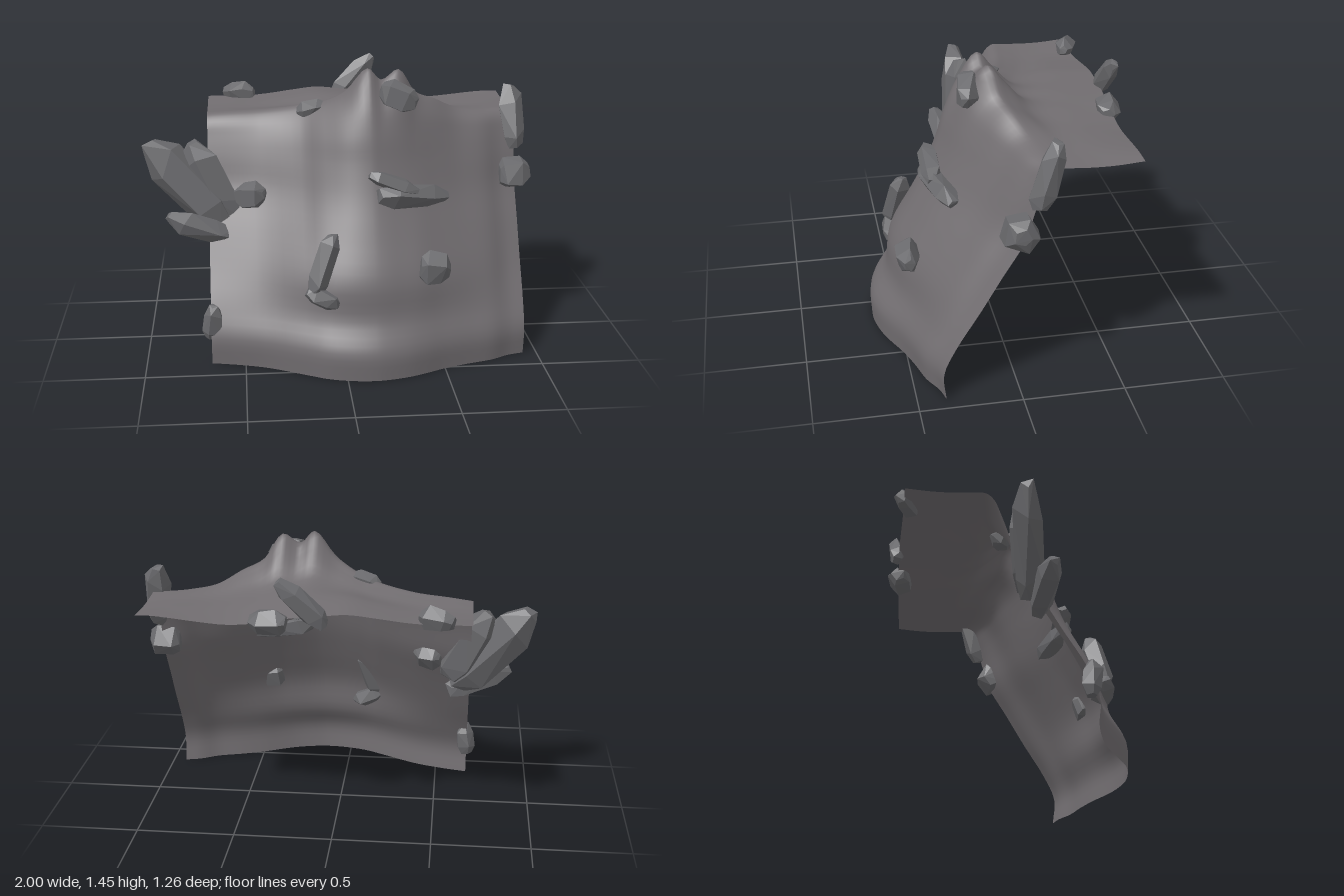
import * as THREE from 'three';
import { ConvexGeometry } from 'three/addons/geometries/ConvexGeometry.js';

const cliffStone = new THREE.MeshStandardMaterial({ color: 0x716d70, side: THREE.DoubleSide });
cliffStone.name = 'cliffStone';
const rockGrey = new THREE.MeshStandardMaterial({ color: 0x69696c });
rockGrey.name = 'rockGrey';

// Cliff profile, foot to back edge:
// [side z, side y, middle z, middle y, then shares of the peak, swell, ripple and narrowing]
const PROFILE = [
  [0.36, 0, 0.63, 0, 0, 0, 0, 0],
  [0.37, 0.14, 0.63, 0.14, 0, 0, 0, 0],
  [0.31, 0.28, 0.55, 0.28, 0, 0.5, 0, 0],
  [0.2, 0.46, 0.525, 0.46, 0, 1, 0, 0],
  [0.09, 0.65, 0.425, 0.66, 0, 1, 0, 0.2],
  [-0.01, 0.82, 0.335, 0.84, 0, 0.7, 0, 0.4],
  [-0.055, 0.97, 0.275, 1.0, 0, 0.3, 0, 0.6],
  [-0.09, 1.07, 0.235, 1.12, 0.1, 0, 0, 0.8],
  [-0.12, 1.14, 0.17, 1.18, 0.5, 0, 0, 1],
  [-0.16, 1.175, 0.07, 1.19, 1, 0, 0, 1],
  [-0.22, 1.175, -0.01, 1.2, 0.65, 0, 0, 1],
  [-0.31, 1.17, -0.13, 1.2, 0.2, 0, 0.3, 0.7],
  [-0.42, 1.17, -0.33, 1.22, 0, 0, 0.7, 0.3],
  [-0.555, 1.18, -0.57, 1.19, 0, 0, 1, 0],
];

// Across the cliff: [x, blend towards the middle profile, peak height, swell, ripple, narrowing]
const ACROSS = [
  [-0.67, 0, 0, 0, 0, 0], [-0.55, 0.1, 0.01, 0, 0, 0.03], [-0.4, 0.27, 0.02, 0, 0, 0.12],
  [-0.2, 0.65, 0.05, 0, 0.02, 0.27], [-0.08, 0.87, 0.08, 0, 0.03, 0.2], [0.03, 0.97, 0.14, 0, 0.02, 0.06],
  [0.14, 1, 0.26, 0, 0.01, 0], [0.21, 0.97, 0.2, 0.01, 0, 0], [0.3, 0.89, 0.25, 0.03, -0.015, 0],
  [0.39, 0.76, 0.13, 0.08, -0.03, 0], [0.5, 0.57, 0.08, 0.11, -0.035, 0], [0.62, 0.41, 0.02, 0.1, -0.025, 0.05],
  [0.75, 0.27, 0, 0.05, -0.01, 0.04], [0.85, 0.08, 0, 0.02, 0, 0], [0.93, 0, 0, 0, 0, 0],
];

// Curved sheet: one smooth profile per column, blended from side to middle
function makeCliff() {
  const shape = new THREE.CatmullRomCurve3(ACROSS.map((p) => new THREE.Vector3(p[0], p[1], p[2])));
  const waves = new THREE.CatmullRomCurve3(
    ACROSS.map((p) => new THREE.Vector3(p[3], p[4], p[5])), false, 'catmullrom');
  const cols = (ACROSS.length - 1) * 4, rows = (PROFILE.length - 1) * 4;
  const pos = [], index = [];
  for (let i = 0; i <= cols; i++) {
    const { x, y: blend, z: peak } = shape.getPoint(i / cols);
    const { x: swell, y: ripple, z: narrow } = waves.getPoint(i / cols);
    const column = new THREE.CatmullRomCurve3(PROFILE.map(([sz, sy, mz, my, kPeak, kSwell, kRipple, kNarrow]) => {
      const w = THREE.MathUtils.clamp(blend + kSwell * swell - kNarrow * narrow, 0, 1);
      return new THREE.Vector3(x, sy + (my - sy) * w + kPeak * peak + kRipple * ripple, sz + (mz - sz) * w);
    }));
    for (let j = 0; j <= rows; j++) {
      const p = column.getPoint(j / rows);
      pos.push(p.x, Math.max(0, p.y), p.z);
      if (i < cols && j < rows) {
        const a = i * (rows + 1) + j, b = a + rows + 1;
        index.push(a, b, b + 1, a, b + 1, a + 1);
      }
    }
  }
  const geo = new THREE.BufferGeometry();
  geo.setAttribute('position', new THREE.Float32BufferAttribute(pos, 3));
  geo.setIndex(index);
  geo.computeVertexNormals();
  return geo;
}

function seeded(seed) {
  let s = seed * 7919 + 17;
  return () => (s = (s * 16807) % 2147483647) / 2147483647;
}

// Faceted stone from a to b: five-sided rings, half width w in the front plane, half depth d
function makeStone(a, b, w, d, seed) {
  const rnd = seeded(seed);
  const start = new THREE.Vector3(...a), end = new THREE.Vector3(...b);
  const axis = end.clone().sub(start);
  const n = axis.clone().normalize();
  const u = new THREE.Vector3().crossVectors(n, new THREE.Vector3(0, 0, 1)).normalize();
  const v = new THREE.Vector3().crossVectors(n, u);
  const pts = [];
  const turn = rnd() * 6;
  for (const [t, r] of [[0, 0.6], [0.22, 1], [0.75, 1], [1, 0.45]]) {
    for (let k = 0; k < 5; k++) {
      const ang = turn + (k / 5) * Math.PI * 2 + (rnd() - 0.5) * 0.3;
      const q = r * (0.9 + rnd() * 0.25);
      const tt = THREE.MathUtils.clamp(t + (rnd() - 0.5) * 0.16, 0, 1);
      pts.push(start.clone().addScaledVector(axis, tt)
        .addScaledVector(u, Math.cos(ang) * w * q)
        .addScaledVector(v, Math.sin(ang) * d * q));
    }
  }
  return new ConvexGeometry(pts);
}

// [name, start, end, half width, half depth]
const STONES = [
  // crystal cluster on the right-hand edge
  ['clusterShardLong', [-0.58, 0.65, 0.06], [-0.98, 1.08, 0.01], 0.11, 0.07],
  ['clusterShardTall', [-0.56, 0.67, 0.05], [-0.76, 1.07, 0.0], 0.1, 0.08],
  ['clusterShardLow', [-0.56, 0.59, 0.1], [-0.88, 0.72, 0.14], 0.065, 0.06],
  ['clusterPebble', [-0.53, 0.79, 0.05], [-0.38, 0.81, 0.1], 0.07, 0.06],
  // stones on the face
  ['footStone', [-0.67, 0.13, 0.33], [-0.655, 0.31, 0.34], 0.05, 0.045],
  ['faceShardUpper', [-0.16, 0.4, 0.49], [-0.06, 0.71, 0.42], 0.055, 0.055],
  ['faceShardLower', [-0.19, 0.43, 0.47], [-0.03, 0.35, 0.5], 0.05, 0.06],
  ['facePebble', [0.37, 0.53, 0.47], [0.52, 0.51, 0.47], 0.085, 0.06],
  ['faceShardWide', [0.17, 0.87, 0.35], [0.53, 0.83, 0.25], 0.06, 0.06],
  ['faceShardThin', [0.13, 0.97, 0.32], [0.37, 0.88, 0.33], 0.04, 0.05],
  // stones round the peak and the left-hand edge
  ['peakStone', [0.2, 1.35, 0.12], [0.38, 1.28, 0.16], 0.07, 0.06],
  ['ridgeStone', [-0.2, 1.2, -0.06], [-0.05, 1.24, -0.01], 0.05, 0.06],
  ['edgeStoneUpper', [0.94, 0.98, -0.07], [0.91, 1.31, -0.16], 0.065, 0.06],
  ['edgeStoneLower', [0.84, 0.86, 0.01], [1.0, 0.88, 0.01], 0.09, 0.09],
  // stones on the back rim
  ['rimStone', [-0.58, 1.19, -0.57], [-0.42, 1.21, -0.51], 0.055, 0.05],
  ['rimShard', [0.02, 1.16, -0.58], [0.24, 1.38, -0.6], 0.055, 0.04],
  ['rimPebble', [0.2, 1.17, -0.57], [0.38, 1.17, -0.54], 0.06, 0.065],
];

export function createModel() {
  const model = new THREE.Group();
  model.name = 'rockyCliff';
  const cliff = new THREE.Mesh(makeCliff(), cliffStone);
  cliff.name = 'cliffSheet';
  model.add(cliff);
  STONES.forEach(([name, a, b, w, d], i) => {
    const stone = new THREE.Mesh(makeStone(a, b, w, d, i + 1), rockGrey);
    stone.name = name;
    model.add(stone);
  });
  return model;
}
